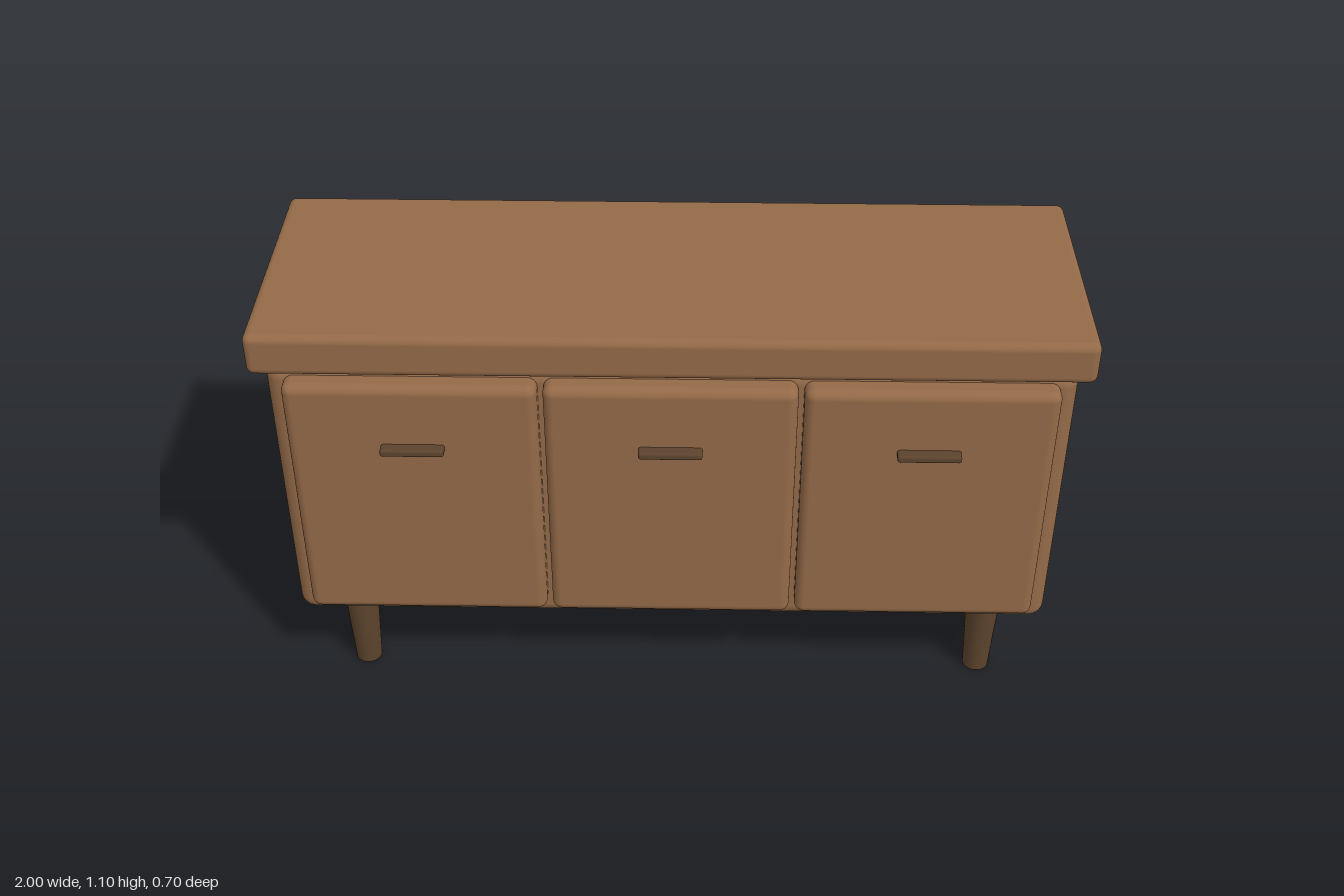
import * as THREE from 'three';
import { RoundedBoxGeometry } from 'three/addons/geometries/RoundedBoxGeometry.js';

export function createModel() {
  const model = new THREE.Group();
  model.name = 'sideboard';

  const wood = new THREE.MeshStandardMaterial({ color: 0x946a48 });
  wood.name = 'walnut brown';
  const darkWood = new THREE.MeshStandardMaterial({ color: 0x5c442d });
  darkWood.name = 'dark brown';

  const add = (name, geometry, material, x, y, z) => {
    const mesh = new THREE.Mesh(geometry, material);
    mesh.name = name;
    mesh.position.set(x, y, z);
    model.add(mesh);
  };
  const rounded = (w, h, d, r) => new RoundedBoxGeometry(w, h, d, 4, r);

  // Cabinet body and overhanging top
  add('cabinetBody', rounded(1.94, 0.78, 0.582, 0.04), wood, 0, 0.602, -0.02);
  add('tabletop', rounded(2, 0.11, 0.658, 0.02), wood, 0, 1.047, -0.019);

  // Three doors, each with a bar handle
  ['right', 'middle', 'left'].forEach((side, i) => {
    const x = (i - 1) * 0.621;
    add(side + 'Door', rounded(0.607, 0.7, 0.07, 0.024), wood, x, 0.619, 0.286);
    add(side + 'Handle', rounded(0.154, 0.019, 0.036, 0.006), darkWood, x, 0.795, 0.331);
  });

  // Tapered legs
  const leg = new THREE.CylinderGeometry(0.044, 0.034, 0.22, 24);
  for (const [side, x] of [['Left', 0.82], ['Right', -0.82]]) {
    add('front' + side + 'Leg', leg, darkWood, x, 0.11, 0.204);
    add('back' + side + 'Leg', leg, darkWood, x, 0.11, -0.244);
  }

  return model;
}
